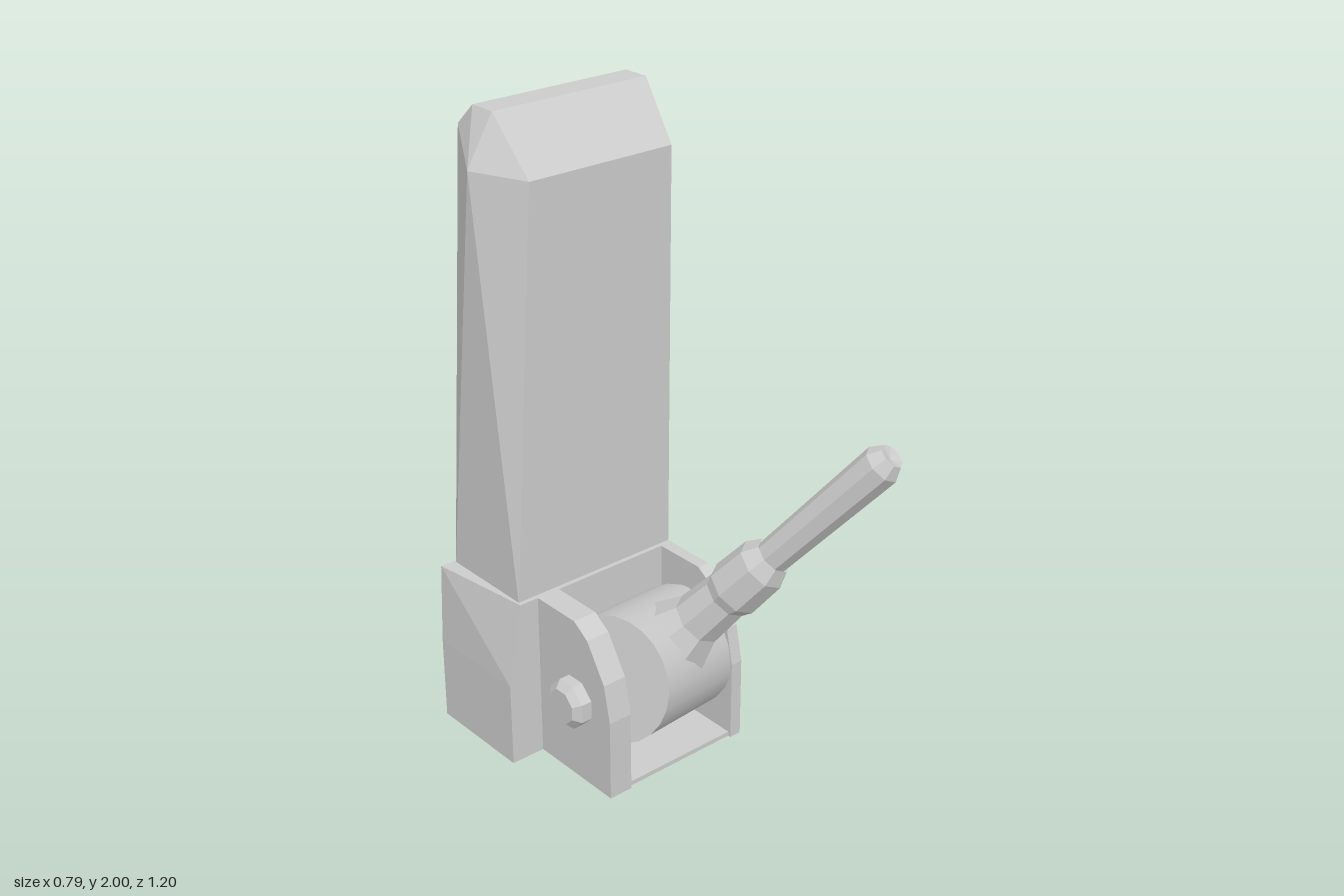
import * as THREE from 'three';
import { ConvexGeometry } from 'three/addons/geometries/ConvexGeometry.js';

export function createModel() {
  const model = new THREE.Group();
  const mat = new THREE.MeshStandardMaterial({ color: 0xcccccc, flatShading: true });
  const smooth = new THREE.MeshStandardMaterial({ color: 0xcccccc });

  const add = (name, geometry, parent = model, material = mat) => {
    const mesh = new THREE.Mesh(geometry, material);
    mesh.name = name;
    parent.add(mesh);
    return mesh;
  };
  const hull = pts => new ConvexGeometry(pts.map(p => new THREE.Vector3(...p)));

  // Tall post with a chamfered, slightly crooked top
  add('post', hull([
    [-0.35, 0.54, -0.25], [0.24, 0.54, -0.25], [0.24, 0.54, -0.575], [-0.35, 0.54, -0.575],
    [0.285, 1.17, -0.41],
    [-0.35, 1.85, -0.41],
    [-0.26, 1.84, -0.25], [0.25, 1.84, -0.25],
    [-0.26, 2, -0.41], [0.29, 2, -0.41],
    [-0.26, 2, -0.5], [0.29, 2, -0.5],
    [-0.26, 1.93, -0.575], [0.295, 1.93, -0.575],
  ]));

  // Block foot with sloping shoulders
  add('base', hull([
    [-0.405, 0, -0.235], [0.345, 0, -0.235], [0.345, 0, -0.592], [-0.405, 0, -0.592],
    [-0.405, 0.28, -0.235], [0.345, 0.28, -0.235], [0.345, 0.28, -0.592], [-0.405, 0.28, -0.592],
    [-0.355, 0.55, -0.235], [0.24, 0.55, -0.235], [0.24, 0.55, -0.582], [-0.4, 0.55, -0.582],
  ]));

  // Side plates of the bracket, profile as [z, y]
  const profile = [[-0.25, 0], [0.1, 0], [0.1, 0.27], [0.075, 0.39], [0, 0.51], [-0.06, 0.55], [-0.25, 0.55]];
  const shape = new THREE.Shape(profile.map(([z, y]) => new THREE.Vector2(-z, y)));
  for (const [name, x, depth] of [['rightBracketPlate', -0.29, 0.08], ['leftBracketPlate', 0.198, 0.04]]) {
    const g = new THREE.ExtrudeGeometry(shape, { depth, bevelEnabled: false });
    add(name, g.rotateY(Math.PI / 2).translate(x, 0, 0));
  }
  add('bracketFloor', new THREE.BoxGeometry(0.46, 0.015, 0.33).translate(-0.02, 0.0075, -0.075));

  // Turned parts from [radius, height] rings
  const turned = (rings, sides) =>
    new THREE.LatheGeometry(rings.map(([r, h]) => new THREE.Vector2(r, h)), sides);

  // Octagonal bolt heads
  for (const [name, x, side] of [['rightBolt', -0.28, 1], ['leftBolt', 0.235, -1]]) {
    const g = turned([[0, -0.01], [0.08, -0.01], [0.08, 0.045], [0.057, 0.067], [0, 0.067]], 8);
    const bolt = add(name, g.rotateY(Math.PI / 8).rotateZ(side * Math.PI / 2));
    bolt.position.set(x, 0.275, -0.06);
  }

  // Tilted pivot group: local y runs along the lever, local x along the barrel
  const pivot = new THREE.Group();
  pivot.name = 'leverAssembly';
  const yAxis = new THREE.Vector3(0.305, 0.7, 0.53).normalize();
  const xAxis = new THREE.Vector3(1, -0.2, -0.28);
  xAxis.addScaledVector(yAxis, -xAxis.dot(yAxis)).normalize();
  const zAxis = new THREE.Vector3().crossVectors(xAxis, yAxis);
  pivot.quaternion.setFromRotationMatrix(new THREE.Matrix4().makeBasis(xAxis, yAxis, zAxis));
  pivot.position.set(-0.02, 0.3, -0.05);
  model.add(pivot);

  add('barrel', new THREE.CylinderGeometry(0.2, 0.2, 0.38, 24).rotateZ(Math.PI / 2), pivot, smooth);
  add('leverNeck', turned([[0.13, 0.14], [0.085, 0.25], [0.075, 0.42]], 8), pivot);
  add('leverCollar', turned([[0, 0.38], [0.075, 0.38], [0.09, 0.42], [0.085, 0.55], [0.06, 0.6]], 8), pivot);
  add('leverGrip', turned([[0.054, 0.56], [0.062, 1.06], [0.04, 1.1], [0, 1.09]], 8), pivot);
  add('collarTab', new THREE.BoxGeometry(0.03, 0.16, 0.08).translate(0.095, 0.46, -0.01), pivot);

  return model;
}
